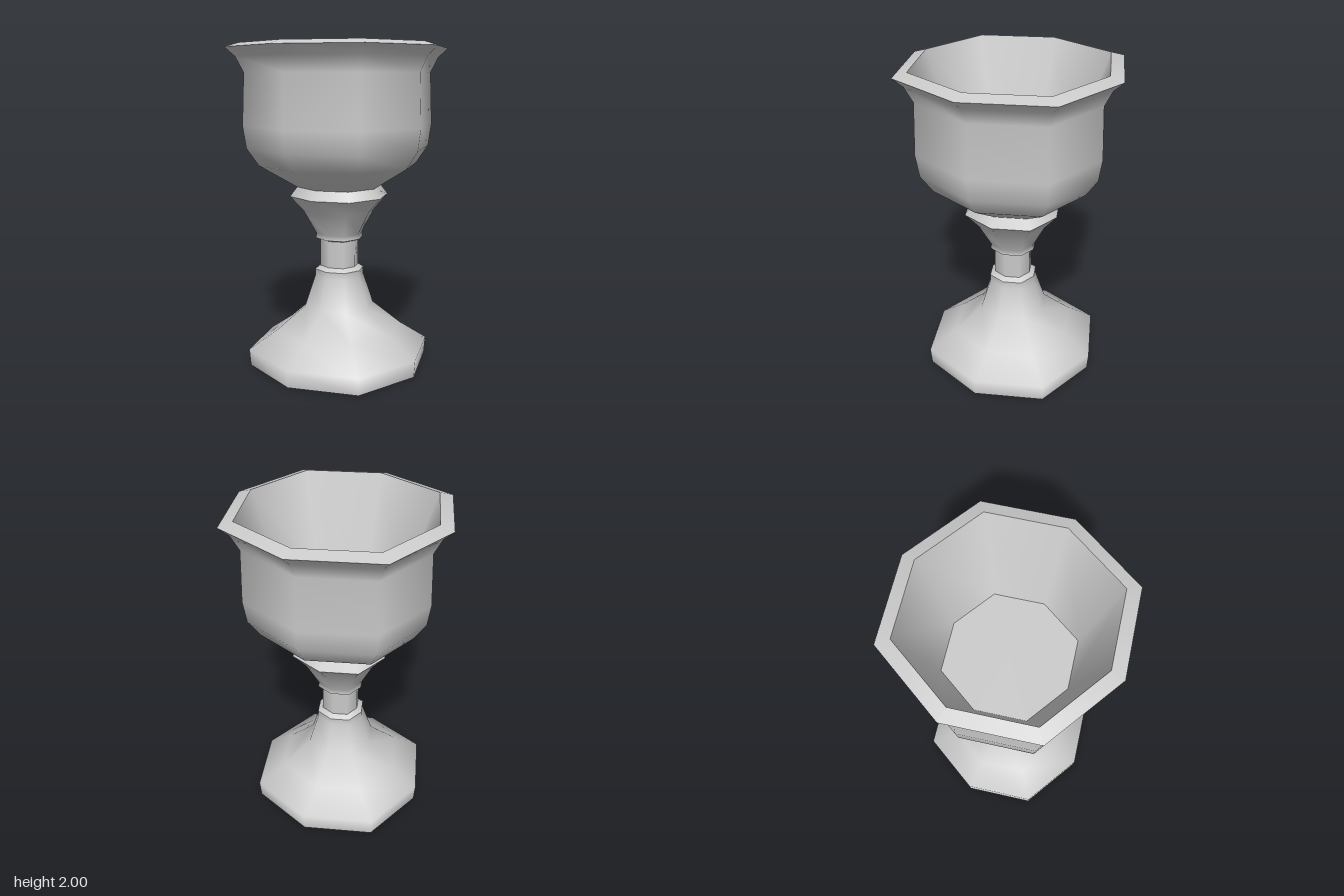
import * as THREE from 'three';

const SIDES = 8;

// Eight-sided turned piece; corners between the axes sit slightly further out
function turned(name, profile, material) {
  const points = profile.map(([r, y]) => new THREE.Vector2(r, y));
  const geometry = new THREE.LatheGeometry(points, SIDES);
  const pos = geometry.attributes.position;
  for (let i = 0; i < pos.count; i++) {
    const corner = Math.floor(i / points.length);
    const k = corner % 2 ? 1.05 : 1;
    pos.setXYZ(i, pos.getX(i) * k, pos.getY(i), pos.getZ(i) * k);
  }
  const mesh = new THREE.Mesh(geometry, material);
  mesh.name = name;
  return mesh;
}

export function createModel() {
  const metal = new THREE.MeshStandardMaterial({ color: 0xcccccc });
  metal.name = 'pale grey metal';

  // Profiles run from the underside, up the outside and down into the bowl;
  // each new piece starts at a sharp edge.
  const parts = {
    baseUnderside: [[0, 0], [0.545, 0]],
    foot: [[0.545, 0], [0.553, 0.105], [0.382, 0.222], [0.21, 0.372], [0.148, 0.566], [0.148, 0.61]],
    lowerCollar: [[0.148, 0.61], [0.116, 0.632]],
    stem: [[0.116, 0.632], [0.116, 0.8]],
    upperCollarUnderside: [[0.116, 0.8], [0.143, 0.81]],
    stemFlare: [[0.143, 0.81], [0.138, 0.84], [0.215, 0.985], [0.295, 1.077]],
    bowlCollar: [[0.295, 1.077], [0.253, 1.135]],
    bowlOutside: [[0.253, 1.135], [0.472, 1.27], [0.543, 1.377], [0.562, 1.512],
      [0.549, 1.828], [0.595, 1.92], [0.655, 1.975]],
    rim: [[0.655, 1.975], [0.573, 2]],
    bowlInside: [[0.573, 2], [0.38, 1.45]],
    bowlFloor: [[0.38, 1.45], [0, 1.45]],
  };

  const goblet = new THREE.Group();
  goblet.name = 'goblet';
  for (const [name, profile] of Object.entries(parts)) goblet.add(turned(name, profile, metal));
  return goblet;
}
